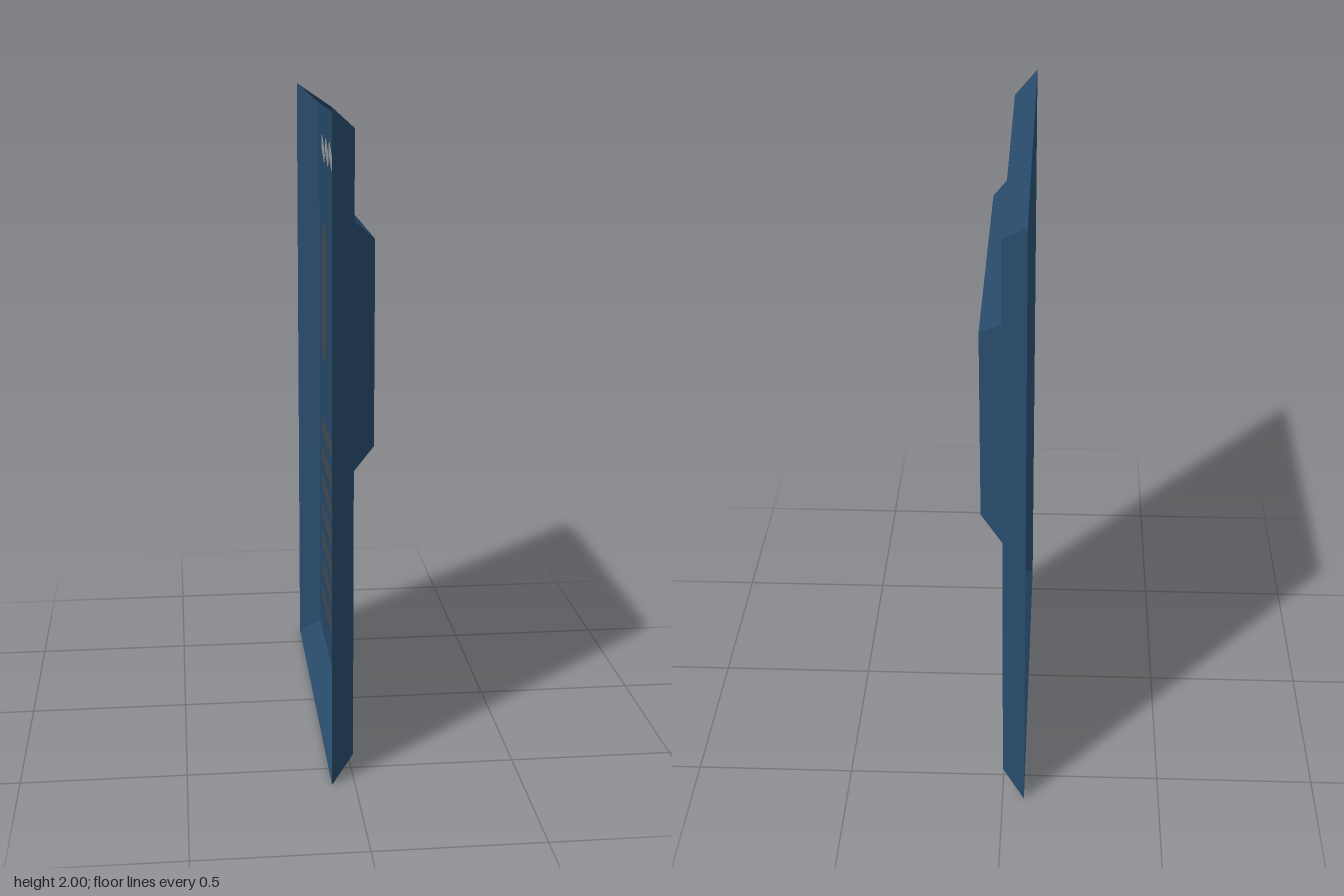
import * as THREE from 'three';

const material = (name, color, side = THREE.FrontSide) => {
  const m = new THREE.MeshStandardMaterial({ color, side });
  m.name = name;
  return m;
};

// Open bevelled tray: a rectangular rim narrowing to a flat face on the +x side.
// Rectangles are [halfWidth, bottom, top] at depth x.
function trayGeometry(rim, rimX, face, faceX) {
  const ring = ([w, b, t], x) => [[x, b, w], [x, b, -w], [x, t, -w], [x, t, w]];
  const outer = ring(rim, rimX), inner = ring(face, faceX);
  const pos = [];
  const quad = (a, b, c, d) => pos.push(...a, ...b, ...c, ...a, ...c, ...d);
  quad(...inner);
  for (let i = 0; i < 4; i++) {
    const j = (i + 1) % 4;
    quad(outer[i], outer[j], inner[j], inner[i]);
  }
  const g = new THREE.BufferGeometry();
  g.setAttribute('position', new THREE.Float32BufferAttribute(pos, 3));
  g.computeVertexNormals();
  return g;
}

// Flat round-ended slot between two points; equal points give a disc.
// Points are [across, up], where across runs towards -z.
function slotGeometry([x1, y1], [x2, y2], r) {
  const a = Math.atan2(y2 - y1, x2 - x1);
  const s = new THREE.Shape();
  s.absarc(x2, y2, r, a - Math.PI / 2, a + Math.PI / 2, false);
  s.absarc(x1, y1, r, a + Math.PI / 2, a + Math.PI * 1.5, false);
  return new THREE.ShapeGeometry(s, 16).rotateY(Math.PI / 2);
}

export function createModel() {
  const blue = material('bluePaint', 0x284a6b, THREE.DoubleSide);
  const dark = material('darkGrey', 0x464c51, THREE.DoubleSide);
  const light = material('lightGrey', 0x9a9b9c, THREE.DoubleSide);

  const model = new THREE.Group();
  model.name = 'ventPanel';
  const add = (name, geometry, mat, x = 0) => {
    const mesh = new THREE.Mesh(geometry, mat);
    mesh.name = name;
    mesh.position.x = x;
    model.add(mesh);
  };

  const plateX = 0.001, boxX = 0.068, gap = 0.002;

  // Main door panel, open at the back, and the raised control box
  add('doorPanel', trayGeometry([0.606, 0, 2], -0.069, [0.541, 0.065, 1.938], plateX), blue);
  add('controlBox', trayGeometry([0.532, 0.955, 1.682], plateX, [0.469, 1.012, 1.622], boxX), blue);

  // Markings show on the outside and again on the inside of the panel
  const mark = (name, geometry, mat, frontX) => {
    add(name, geometry, mat, frontX + gap);
    add(name + 'Inside', geometry, mat, plateX - gap);
  };

  // Slanted light slits along the top
  for (let i = 0; i < 7; i++) {
    const c = -0.368 + i * 0.1238;
    mark('topSlit' + (i + 1), slotGeometry([c - 0.034, 1.781], [c + 0.034, 1.815], 0.026), light, plateX);
  }

  // Two dials and a tall handle slot on the control box
  mark('upperDial', slotGeometry([-0.346, 1.475], [-0.346, 1.475], 0.095), dark, boxX);
  mark('lowerDial', slotGeometry([-0.343, 1.162], [-0.343, 1.162], 0.096), dark, boxX);
  mark('handleSlot', slotGeometry([0.345, 1.143], [0.345, 1.497], 0.063), dark, boxX);

  // Louvre slots below
  for (let i = 0; i < 7; i++) {
    const y = 0.22 + i * 0.1035;
    mark('louvre' + (i + 1), slotGeometry([-0.39, y], [0.41, y], 0.025), dark, plateX);
  }

  return model;
}
